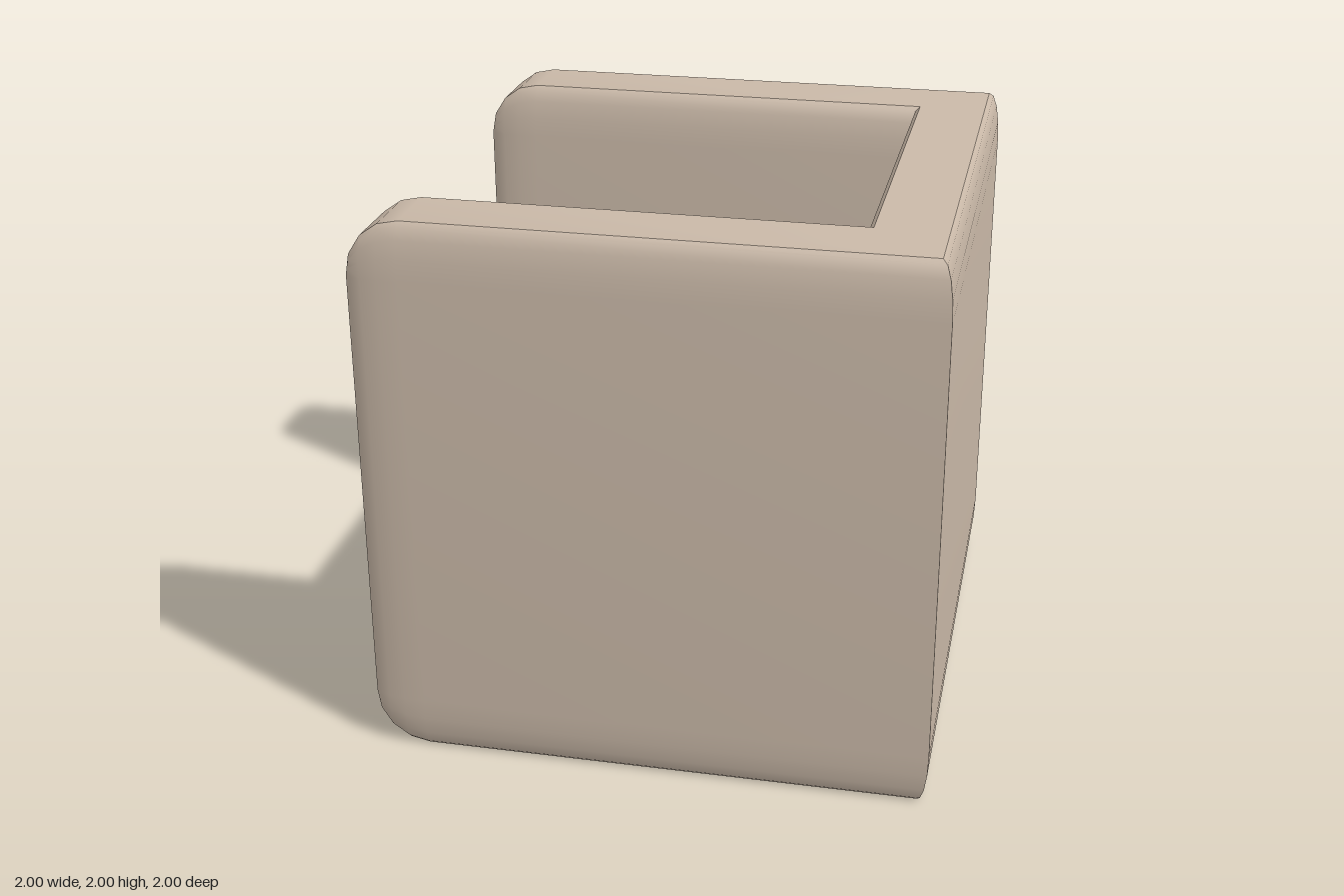
import * as THREE from 'three';
import { RoundedBoxGeometry } from 'three/addons/geometries/RoundedBoxGeometry.js';
import { toCreasedNormals } from 'three/addons/utils/BufferGeometryUtils.js';

const STEPS = 4;            // segments per rounded edge
const MID = 0.835;          // centre line of the walls
const HALF = 0.165;         // half wall thickness
const RT = 0.042, RY = 0.2, RX = 0.19; // edge radii: thickness, height, arm end

// Rounded upright wall section as [offset from centre line, y]; k scales the rounding
function section(k) {
  const pts = [];
  [[1, 1], [-1, 1], [-1, -1], [1, -1]].forEach(([su, sy], q) => {
    for (let i = 0; i <= STEPS; i++) {
      const a = (q + i / STEPS) * Math.PI / 2;
      pts.push([
        su * (HALF - RT) + Math.cos(a) * RT * k,
        1 + sy * (1 - RY) + Math.sin(a) * RY * k,
      ]);
    }
  });
  return pts;
}

// Skin a list of rings, optionally closing the first or last one
function loft(rings, capStart, capEnd) {
  const pos = [];
  const tri = (...p) => p.forEach((v) => pos.push(...v));
  const n = rings[0].length;
  for (let r = 0; r < rings.length - 1; r++) {
    for (let j = 0; j < n; j++) {
      const k = (j + 1) % n;
      const a = rings[r][j], b = rings[r][k], c = rings[r + 1][k], d = rings[r + 1][j];
      tri(a, d, b);
      tri(d, c, b);
    }
  }
  const first = rings[0], last = rings[rings.length - 1];
  for (let j = 1; j < n - 1; j++) {
    if (capStart) tri(first[0], first[j], first[j + 1]);
    if (capEnd) tri(last[0], last[j + 1], last[j]);
  }
  const g = new THREE.BufferGeometry();
  g.setAttribute('position', new THREE.Float32BufferAttribute(pos, 3));
  return toCreasedNormals(g, 0.6);
}

// Arm rings from the rounded open end to the mitred corner; side is +1 or -1 in z
function armRings(side) {
  const rings = [];
  for (let i = 0; i <= STEPS; i++) {
    const a = (1 - i / STEPS) * Math.PI / 2;
    const x = -1 + RX * (1 - Math.sin(a));
    rings.push(section(Math.cos(a)).map(([u, y]) => [x, y, side * (MID + u)]));
  }
  rings.push(mitre(side));
  return rings;
}

function mitre(side) {
  return section(1).map(([u, y]) => [MID + u, y, side * (MID + u)]);
}

export function createModel() {
  const group = new THREE.Group();
  group.name = 'armchair';
  const fabric = new THREE.MeshStandardMaterial({ color: 0xcbbaa9 });
  fabric.name = 'beige fabric';

  const add = (name, geometry) => {
    const mesh = new THREE.Mesh(geometry, fabric);
    mesh.name = name;
    group.add(mesh);
    return mesh;
  };

  // U-shaped shell, open towards -x
  add('frontArm', loft(armRings(1), true, false));
  add('backrest', loft([mitre(1), mitre(-1)], false, false));
  add('rearArm', loft(armRings(-1).reverse(), false, true));

  // Seat block with softly rounded edges
  const seat = new RoundedBoxGeometry(2, 2, 2, STEPS, 0.2);
  seat.scale(0.83, 0.5, 0.664);
  add('seat', seat).position.set(-0.17, 0.5, 0);

  return group;
}
